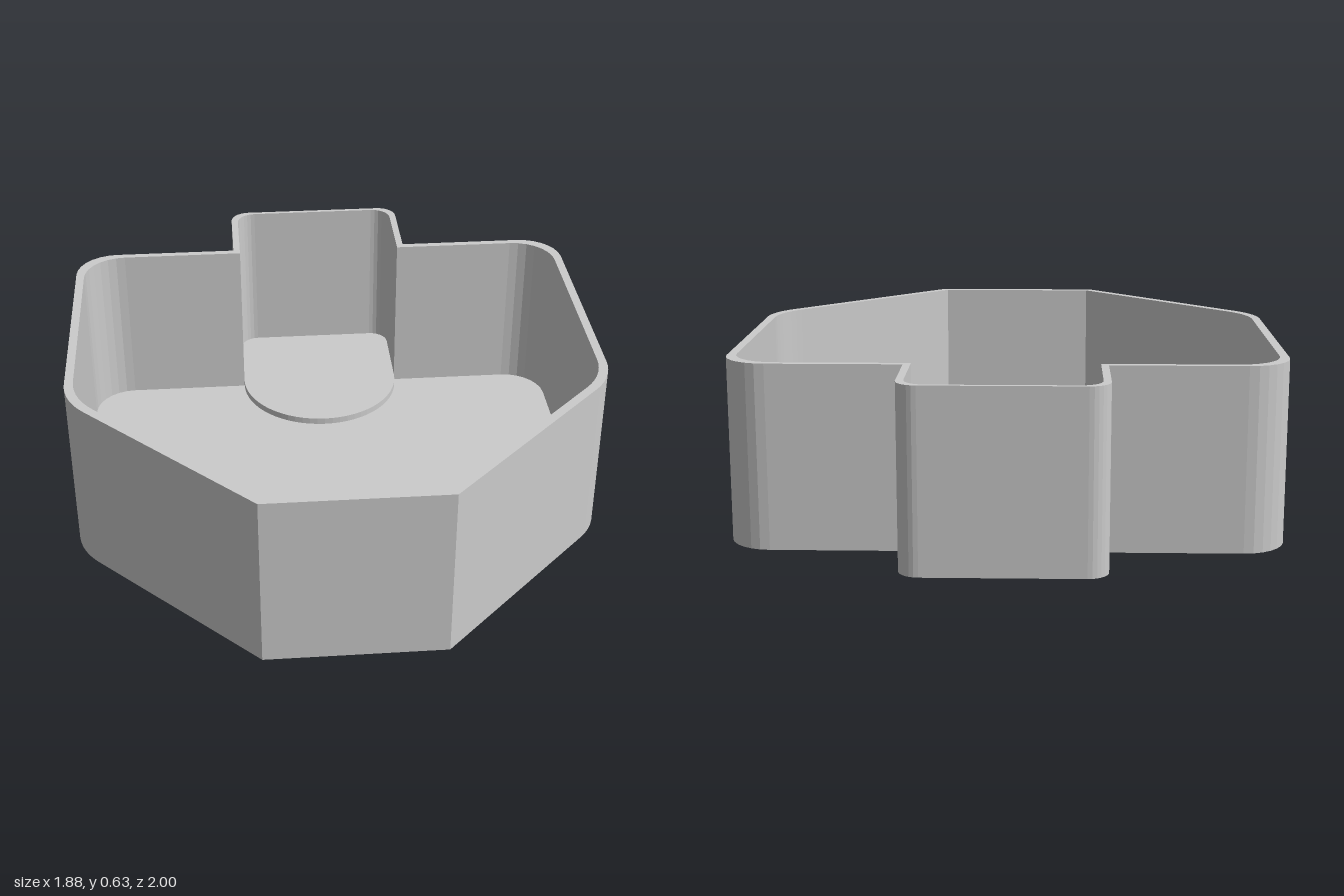
import * as THREE from 'three';

const material = new THREE.MeshStandardMaterial({ color: 0xcccccc, flatShading: true });
const FLOOR = 0.02, STEP = 0.045, TOP = 0.635;

// Round each [x, z, radius] corner into arc points (shape y is -z)
function rounded(corners, segments = 7) {
  const pts = corners.map(([x, z]) => new THREE.Vector2(x, -z));
  const n = pts.length;
  return pts.flatMap((p, i) => {
    const r = corners[i][2];
    if (!r) return [p];
    const a = pts[(i + n - 1) % n].clone().sub(p).normalize();
    const b = pts[(i + 1) % n].clone().sub(p).normalize();
    const half = Math.acos(a.dot(b)) / 2;
    const turn = -Math.sign(a.cross(b)) * (Math.PI - 2 * half);
    const centre = a.clone().add(b).normalize().multiplyScalar(r / Math.sin(half)).add(p);
    const start = a.clone().multiplyScalar(r / Math.tan(half)).add(p);
    return Array.from({ length: segments + 1 }, (_, k) =>
      start.clone().rotateAround(centre, turn * k / segments));
  });
}

// Complete a right-hand run of corners with its mirror image
const mirrored = (half) => [...half, ...half.map(([x, z, r]) => [-x, z, r]).reverse()];

function slab(name, shape, y0, y1) {
  const geometry = new THREE.ExtrudeGeometry(shape, { depth: y1 - y0, bevelEnabled: false });
  geometry.rotateX(-Math.PI / 2).translate(0, y0, 0);
  const mesh = new THREE.Mesh(geometry, material);
  mesh.name = name;
  return mesh;
}

export function createModel() {
  const group = new THREE.Group();
  group.name = 'tray';

  // Half outlines running from the front to the back
  const outerBody = [[0.31, 1], [0.94, 0.37, 0.25], [0.94, -0.67, 0.15]];
  const innerBody = [[0.295, 0.97], [0.91, 0.355, 0.25], [0.91, -0.645, 0.15]];
  const outerAlcove = [[0.335, -0.67], [0.335, -1, 0.07]];
  const innerAlcove = [[0.31, -0.645], [0.31, -0.985, 0.07]];

  // Main floor
  group.add(slab('floor', new THREE.Shape(rounded(mirrored(outerBody))), 0, FLOOR));

  // One continuous wall around body and alcove
  const wall = new THREE.Shape(rounded(mirrored([...outerBody, ...outerAlcove])));
  wall.holes.push(new THREE.Path(rounded(mirrored([...innerBody, ...innerAlcove]))));
  group.add(slab('wall', wall, FLOOR, TOP));

  // Raised alcove floor with a half-round step into the body
  const step = rounded(mirrored(innerAlcove));
  for (let k = 1; k < 32; k++) {
    const t = Math.PI * k / 32;
    step.push(new THREE.Vector2(-0.31 * Math.cos(t), 0.645 - 0.31 * Math.sin(t)));
  }
  group.add(slab('alcoveFloor', new THREE.Shape(step), FLOOR, STEP));

  return group;
}
